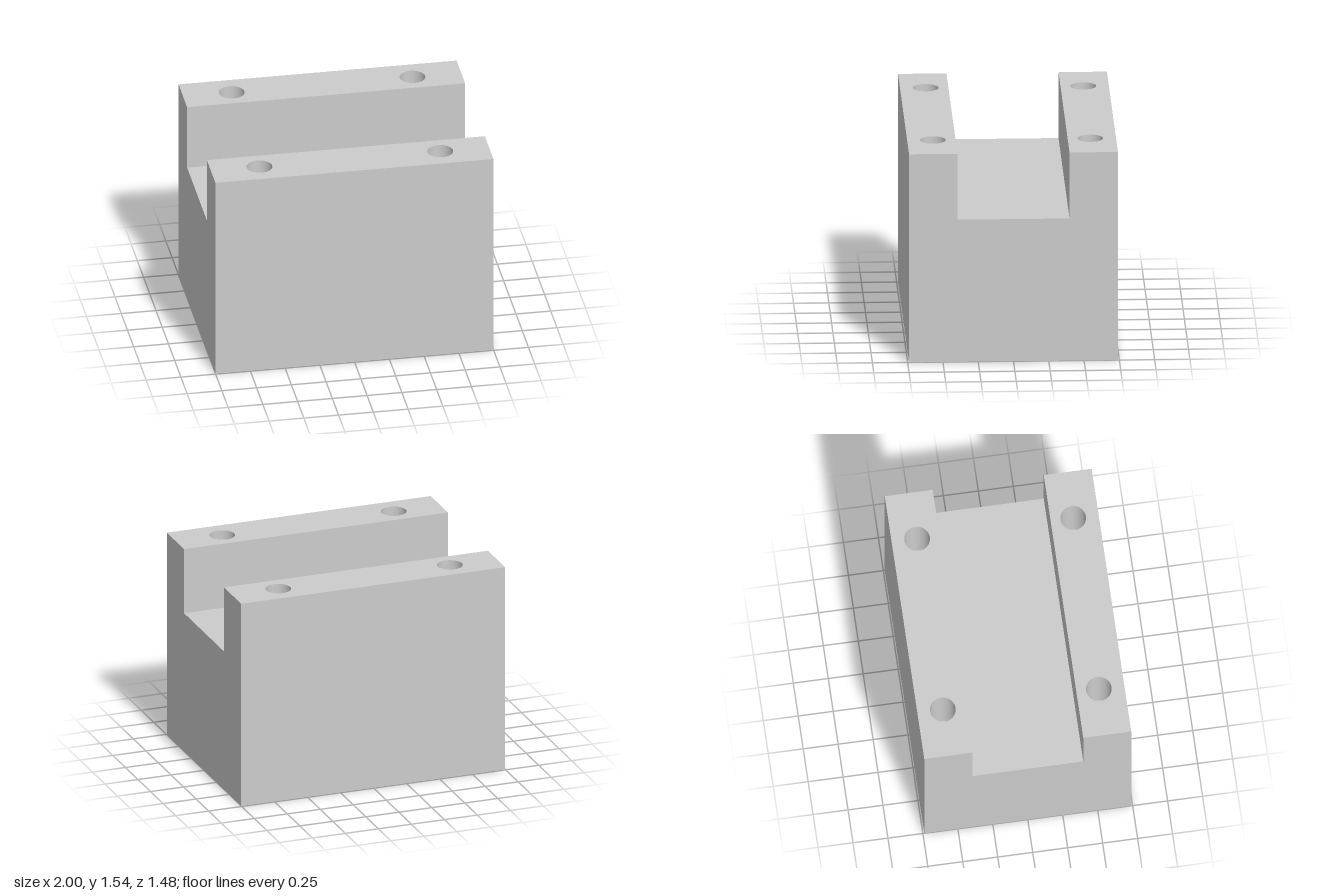
import * as THREE from 'three';

const HX = 1, HZ = 0.74;                 // half length, half depth
const TOP = 1.537, FLOOR = 1.05;         // rail top and channel floor heights
const CZ = 0.397;                        // half width of the channel
const HOLE = { x: 0.65, z: 0.558, r: 0.091, depth: TOP - FLOOR };

export function createModel() {
  const group = new THREE.Group();
  const material = new THREE.MeshStandardMaterial({ color: 0xcccccc });

  const add = (name, geometry, x, y, z) => {
    const mesh = new THREE.Mesh(geometry, material);
    mesh.name = name;
    mesh.position.set(x, y, z);
    group.add(mesh);
  };

  // Underside and channel floor
  add('underside', new THREE.PlaneGeometry(2 * HX, 2 * HZ).rotateX(Math.PI / 2), 0, 0, 0);
  add('channelFloor', new THREE.PlaneGeometry(2 * HX, 2 * CZ).rotateX(-Math.PI / 2), 0, FLOOR, 0);

  // U-shaped end faces
  const profile = new THREE.Shape([
    [-HZ, 0], [HZ, 0], [HZ, TOP], [CZ, TOP], [CZ, FLOOR],
    [-CZ, FLOOR], [-CZ, TOP], [-HZ, TOP],
  ].map(([z, y]) => new THREE.Vector2(z, y)));
  for (const s of [1, -1]) {
    add(s > 0 ? 'leftEnd' : 'rightEnd',
      new THREE.ShapeGeometry(profile).rotateY(s * Math.PI / 2), s * HX, 0, 0);
  }

  // Front and back halves: outer wall, channel wall, drilled rail top
  for (const s of [1, -1]) {
    const side = s > 0 ? 'front' : 'back';
    const outward = s > 0 ? 0 : Math.PI;
    add(side + 'Wall', new THREE.PlaneGeometry(2 * HX, TOP).rotateY(outward), 0, TOP / 2, s * HZ);
    add(side + 'ChannelWall', new THREE.PlaneGeometry(2 * HX, TOP - FLOOR).rotateY(outward + Math.PI),
      0, (TOP + FLOOR) / 2, s * CZ);

    const z0 = Math.min(s * CZ, s * HZ), z1 = Math.max(s * CZ, s * HZ);
    const rail = new THREE.Shape([[-HX, -z1], [HX, -z1], [HX, -z0], [-HX, -z0]]
      .map(([x, y]) => new THREE.Vector2(x, y)));

    for (const x of [-HOLE.x, HOLE.x]) {
      const z = s * HOLE.z;
      rail.holes.push(new THREE.Path().absarc(x, -z, HOLE.r, 0, Math.PI * 2, true));
      // Blind bolt hole: inward-facing bore and flat bottom
      const bore = [new THREE.Vector2(HOLE.r, 0), new THREE.Vector2(HOLE.r, -HOLE.depth)];
      add(side + 'HoleBore', new THREE.LatheGeometry(bore, 48), x, TOP, z);
      add(side + 'HoleBottom', new THREE.CircleGeometry(HOLE.r, 48).rotateX(-Math.PI / 2),
        x, TOP - HOLE.depth, z);
    }
    add(side + 'RailTop', new THREE.ShapeGeometry(rail, 24).rotateX(-Math.PI / 2), 0, TOP, 0);
  }
  return group;
}
